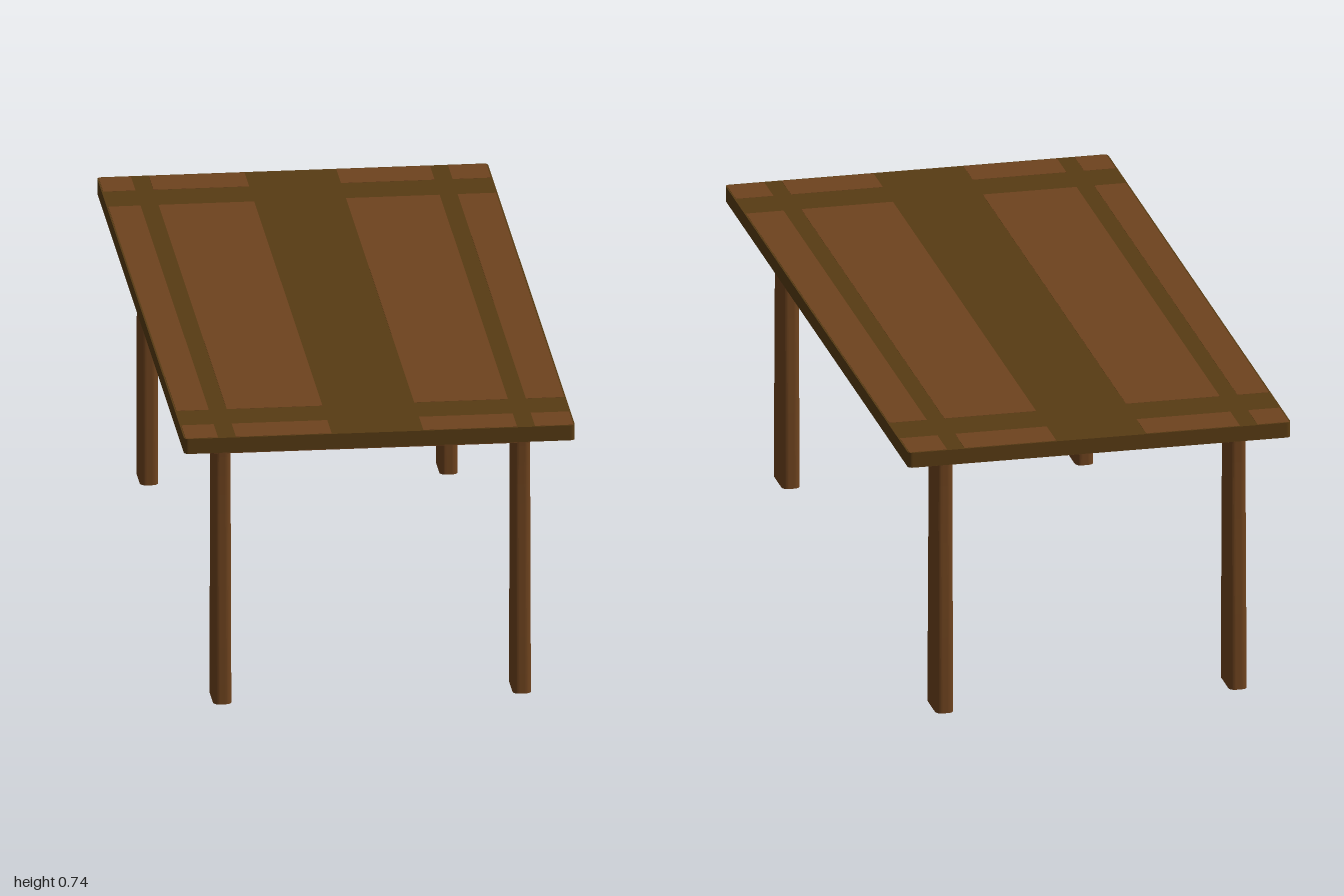
import * as THREE from 'three';

const brown = new THREE.MeshStandardMaterial({ color: 0x6e431e });
const dark = new THREE.MeshStandardMaterial({ color: 0x583b13 });

// Rectangle with rounded corners, centred on the origin
function roundedRect(w, d, r) {
  const s = new THREE.Shape();
  const corners = [[1, 1, 0], [-1, 1, 1], [-1, -1, 2], [1, -1, 3]];
  for (const [sx, sy, q] of corners) {
    s.absarc(sx * (w / 2 - r), sy * (d / 2 - r), r, q * Math.PI / 2, (q + 1) * Math.PI / 2, false);
  }
  s.closePath();
  return s;
}

// Upright prism of a shape, from y0 to y1
function prism(shape, y0, y1, steps = 1) {
  const g = new THREE.ExtrudeGeometry(shape, { depth: y1 - y0, steps, bevelEnabled: false, curveSegments: 4 });
  g.rotateX(-Math.PI / 2);
  g.translate(0, y0, 0);
  return g;
}

function add(parent, name, geometry, material, x = 0, y = 0, z = 0) {
  const m = new THREE.Mesh(geometry, material);
  m.name = name;
  m.position.set(x, y, z);
  parent.add(m);
}

function box(parent, name, material, x0, x1, y0, y1, z0, z1) {
  add(parent, name, new THREE.BoxGeometry(x1 - x0, y1 - y0, z1 - z0), material,
    (x0 + x1) / 2, (y0 + y1) / 2, (z0 + z1) / 2);
}

// Oblong leg with rounded edges and a slight waist below the apron
function legGeometry() {
  const g = prism(roundedRect(0.046, 0.112, 0.016), 0, 0.7, 14);
  const p = g.attributes.position;
  for (let i = 0; i < p.count; i++) {
    const t = p.getY(i) / 0.7;
    const waist = Math.sin(Math.PI * Math.min(1, t * t * 0.8));
    p.setX(i, p.getX(i) * (1 - 0.06 * t));
    p.setZ(i, p.getZ(i) * (1 - 0.12 * waist));
  }
  g.computeVertexNormals();
  return g;
}

export function createModel() {
  const table = new THREE.Group();
  table.name = 'table';

  // Tabletop: dark slab, brown underside, flush brown panels between dark bands
  const top = new THREE.Group();
  top.name = 'tabletop';
  table.add(top);
  add(top, 'slab', prism(roundedRect(0.98, 2, 0.012), 0.7004, 0.7396), dark);
  add(top, 'underside', prism(roundedRect(0.979, 1.999, 0.012), 0.7, 0.702), brown);
  const xs = [[-0.486, -0.405], [-0.36, -0.12], [0.11, 0.345], [0.39, 0.486]];
  const zs = [[-0.996, -0.89], [-0.775, 0.785], [0.895, 0.996]];
  for (const [x0, x1] of xs) {
    for (const [z0, z1] of zs) box(top, 'topPanel', brown, x0, x1, 0.737, 0.74, z0, z1);
  }

  // Solid apron under the top, flush with the outside of the legs
  box(table, 'apron', brown, -0.402, 0.388, 0.66, 0.701, -0.884, 0.89);

  // Four legs
  const leg = legGeometry();
  for (const [side, x] of [['Right', -0.382], ['Left', 0.369]]) {
    for (const [end, z] of [['front', 0.84], ['back', -0.833]]) {
      add(table, `${end}${side}Leg`, leg, brown, x, 0, z);
    }
  }
  return table;
}
